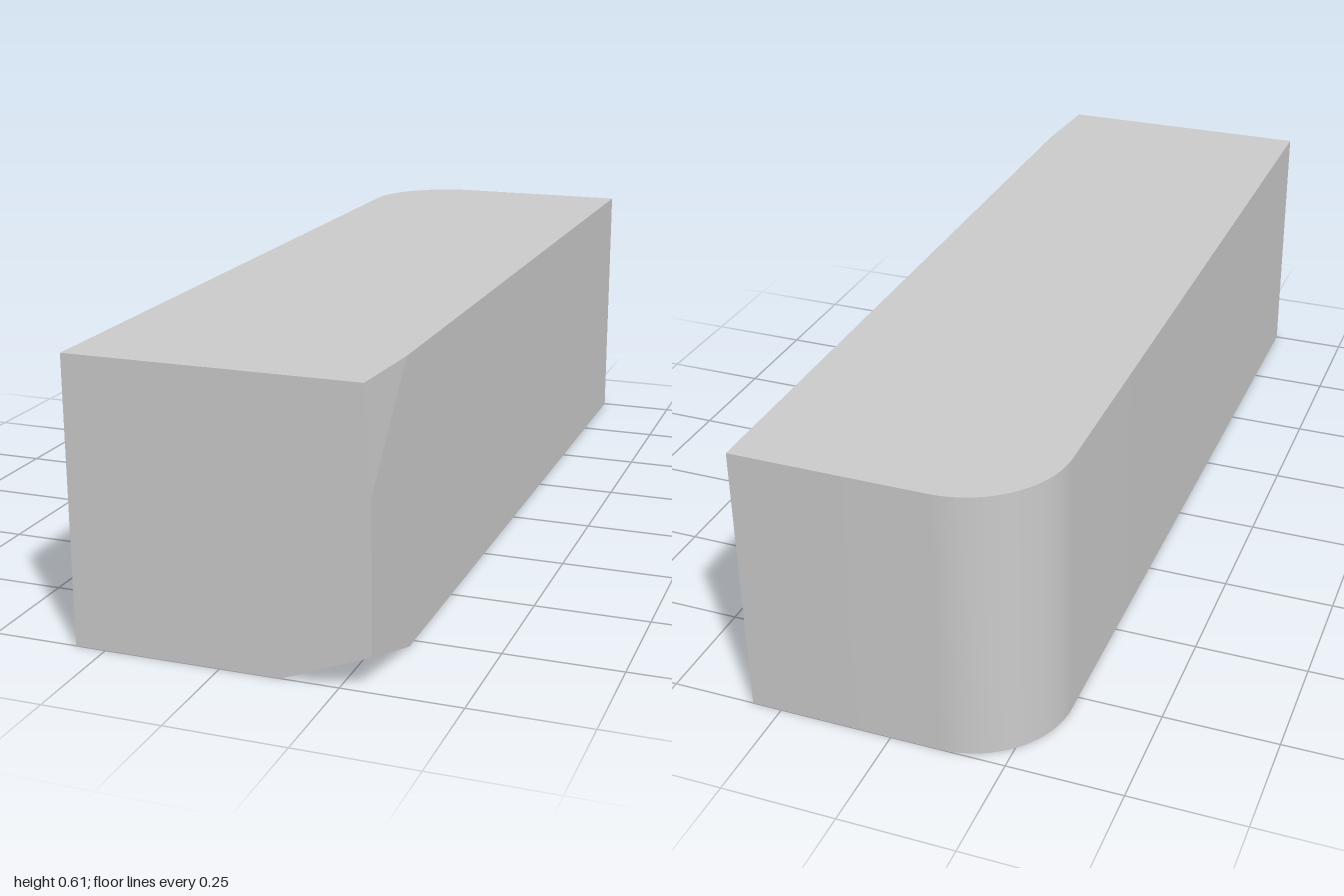
import * as THREE from 'three';
import { ConvexGeometry } from 'three/addons/geometries/ConvexGeometry.js';
import { toCreasedNormals } from 'three/addons/utils/BufferGeometryUtils.js';

const W = 0.316; // half width
const H = 0.61;  // height
const L = 1;     // half length
const R = 0.21;  // radius of the rounded back corner

export function createModel() {
  const group = new THREE.Group();
  const points = [];
  const add = (x, y, z) => points.push(new THREE.Vector3(x, y, z));

  // Square corners and the rounded back corner, on the bottom and top faces
  const steps = 30;
  for (const y of [0, H]) {
    add(-W, y, L);
    add(W, y, -L);
    for (let i = 0; i <= steps; i++) {
      const a = (i / steps) * Math.PI / 2;
      add(-W + R - R * Math.cos(a), y, -L + R - R * Math.sin(a));
    }
  }

  // Lower front corner, cut off steeply
  add(0.128, 0, L);
  add(W, 0.073, L);
  add(W, 0, 0.78);

  // Upper front corner, shaved slightly
  add(0.303, H, L);
  add(W, 0.39, L);
  add(W, H, 0.8);

  // The solid is convex, so its hull is the finished block
  const block = new THREE.Mesh(
    toCreasedNormals(new ConvexGeometry(points), 0.07),
    new THREE.MeshStandardMaterial({ color: 0xcccccc })
  );
  block.name = 'block';
  group.add(block);
  return group;
}
